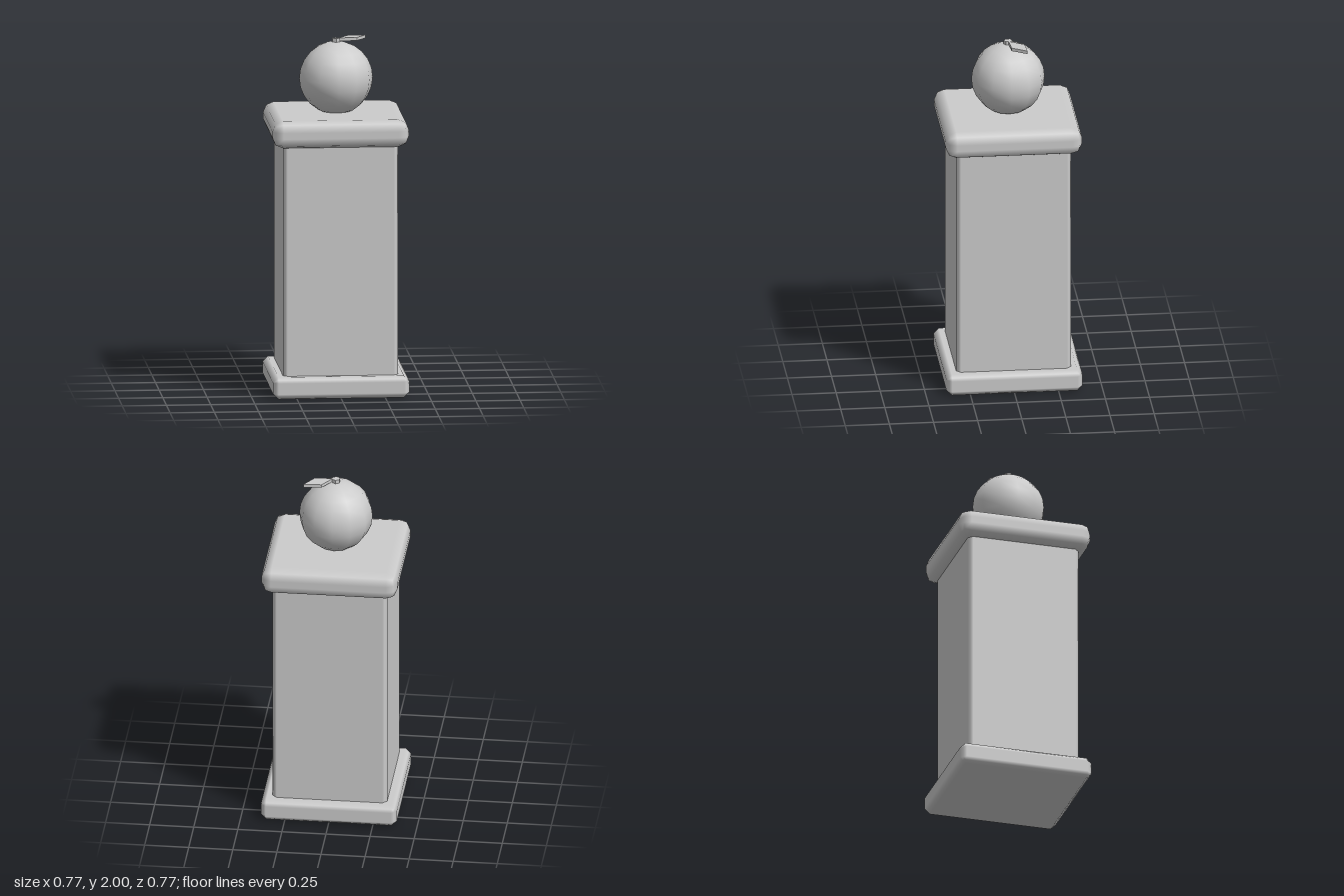
import * as THREE from 'three';

const stone = new THREE.MeshStandardMaterial({ color: 0xcccccc });
stone.name = 'paleGrey';

// Box with bevelled edges: round = two-step rounded bevel, otherwise a single chamfer
function bevelBox(half, y0, y1, r, round) {
  const geo = new THREE.BoxGeometry(2, 2, 2, 3, 3, 3);
  const pos = geo.attributes.position, nor = geo.attributes.normal;
  const inner = new THREE.Vector3(half - r, (y1 - y0) / 2 - r, half - r);
  const v = new THREE.Vector3(), n = new THREE.Vector3();
  for (let i = 0; i < pos.count; i++) {
    v.fromBufferAttribute(pos, i);
    n.set(Math.trunc(v.x * 1.001), Math.trunc(v.y * 1.001), Math.trunc(v.z * 1.001));
    const len = round ? n.length() : n.manhattanLength();
    v.set(Math.sign(v.x), Math.sign(v.y), Math.sign(v.z)).multiply(inner).addScaledVector(n, r / len);
    pos.setXYZ(i, v.x, v.y + (y0 + y1) / 2, v.z);
    n.normalize();
    nor.setXYZ(i, n.x, n.y, n.z);
  }
  return geo;
}

export function createModel() {
  const group = new THREE.Group();
  group.name = 'pillarWithFruit';
  const add = (name, geo, x = 0, y = 0, z = 0) => {
    const mesh = new THREE.Mesh(geo, stone);
    mesh.name = name;
    mesh.position.set(x, y, z);
    group.add(mesh);
  };

  // Pedestal
  add('baseSlab', bevelBox(0.386, 0, 0.125, 0.031, false));
  add('shaft', bevelBox(0.325, 0.08, 1.48, 0.025, false));
  add('capSlab', bevelBox(0.386, 1.43, 1.585, 0.06, true));

  // Fruit on top
  add('fruit', new THREE.SphereGeometry(0.208, 12, 12), 0, 1.774, 0);
  add('stem', new THREE.CylinderGeometry(0.025, 0.025, 0.04, 6).toNonIndexed(), 0, 1.98, 0);
  group.children.at(-1).geometry.computeVertexNormals();

  // Flat diamond leaf, drawn in plan and laid horizontally (shape y = -z)
  const leaf = new THREE.Shape([[0.017, 0.001], [0.12, 0.008], [0.175, 0.093], [0.072, 0.086]]
    .map(([x, y]) => new THREE.Vector2(x, y)));
  const leafGeo = new THREE.ExtrudeGeometry(leaf, { depth: 0.018, bevelEnabled: false });
  leafGeo.rotateX(-Math.PI / 2);
  add('leaf', leafGeo, 0, 1.982, 0);

  return group;
}
